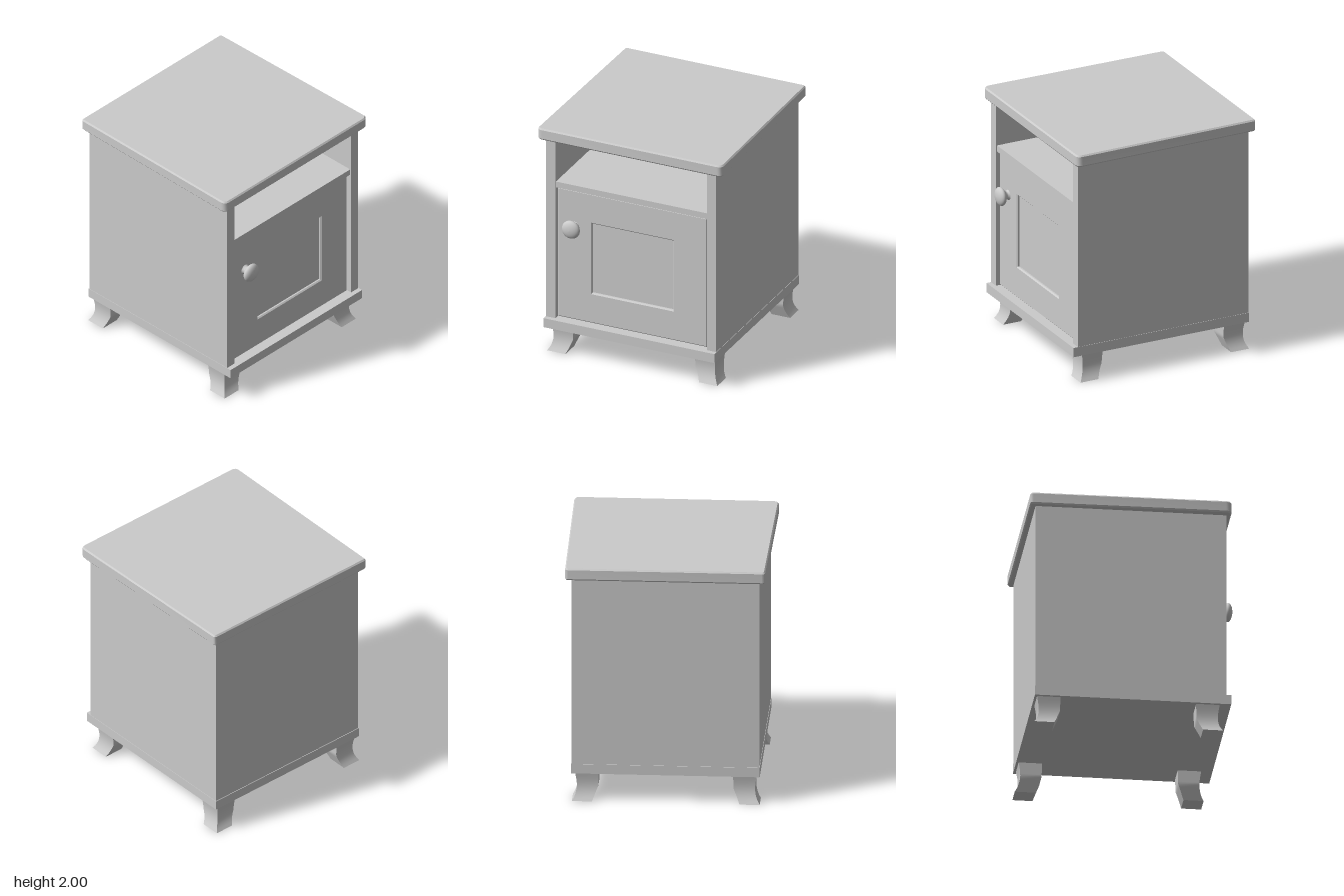
import * as THREE from 'three';
import { toCreasedNormals } from 'three/addons/utils/BufferGeometryUtils.js';

const material = new THREE.MeshStandardMaterial({ color: 0xcccccc });

export function createModel() {
  const root = new THREE.Group();
  const add = (name, geometry, parent = root) => {
    const mesh = new THREE.Mesh(geometry, material);
    mesh.name = name;
    parent.add(mesh);
    return mesh;
  };
  // Box given by its limits on each axis
  const box = (name, [x0, x1], [y0, y1], [z0, z1], parent) => {
    const g = new THREE.BoxGeometry(x1 - x0, y1 - y0, z1 - z0);
    g.translate((x0 + x1) / 2, (y0 + y1) / 2, (z0 + z1) / 2);
    return add(name, g, parent);
  };

  // Carcass, open at +x
  box('base', [-0.79, 0.79], [0.235, 0.315], [-0.755, 0.755]);
  box('leftSidePanel', [-0.785, 0.75], [0.315, 1.905], [0.67, 0.752]);
  box('rightSidePanel', [-0.785, 0.75], [0.315, 1.905], [-0.752, -0.67]);
  box('backPanel', [-0.785, -0.74], [0.315, 1.905], [-0.67, 0.67]);
  box('shelf', [-0.74, 0.74], [1.478, 1.53], [-0.67, 0.67]);

  // Table top: slightly tapered, rounded corners, small bevel
  const corners = [[-0.82, -0.79, 0.015], [0.78, -0.808, 0.04], [0.78, 0.812, 0.04], [-0.82, 0.792, 0.015]];
  const outline = new THREE.Shape();
  corners.forEach(([x, y, r], i) => {
    const p = new THREE.Vector2(x, y);
    const toward = (k) => {
      const q = corners[(i + k) % 4];
      return new THREE.Vector2(q[0], q[1]).sub(p).setLength(r).add(p);
    };
    const a = toward(3), b = toward(1);
    if (i === 0) outline.moveTo(a.x, a.y);
    else outline.lineTo(a.x, a.y);
    outline.quadraticCurveTo(x, y, b.x, b.y);
  });
  outline.closePath();
  const top = new THREE.ExtrudeGeometry(outline, {
    depth: 0.076, bevelThickness: 0.012, bevelSize: 0.01, bevelSegments: 1, curveSegments: 6,
  });
  top.rotateX(-Math.PI / 2).translate(0, 1.912, 0);
  add('tableTop', toCreasedNormals(top, 0.5));

  // Door frame with a bevelled opening
  const door = new THREE.Group();
  door.name = 'door';
  root.add(door);
  const rect = (path, u0, u1, v0, v1) =>
    path.setFromPoints([[u0, v0], [u1, v0], [u1, v1], [u0, v1]].map(([u, v]) => new THREE.Vector2(u, v)));
  const frame = rect(new THREE.Shape(), -0.665, 0.66, 0.322, 1.474);
  frame.holes.push(rect(new THREE.Path(), -0.36, 0.355, 0.59, 1.208));
  const frameGeometry = new THREE.ExtrudeGeometry(frame, {
    depth: 0.04, bevelThickness: 0.01, bevelSize: 0.01, bevelOffset: -0.01, bevelSegments: 1,
  });
  frameGeometry.rotateY(Math.PI / 2).translate(0.67, 0, 0);
  add('doorFrame', frameGeometry, door);
  box('doorPanel', [0.67, 0.698], [0.57, 1.23], [-0.38, 0.38], door);

  // Knob: flared stem and flattened ball
  const profile = [[0.042, 0], [0.034, 0.012], [0.034, 0.022], [0.045, 0.035]];
  for (let i = 0; i <= 10; i++) {
    const a = -0.85 + (i / 10) * (Math.PI / 2 + 0.85);
    profile.push([Math.max(0, 0.078 * Math.cos(a)), 0.068 + 0.038 * Math.sin(a)]);
  }
  const knob = new THREE.LatheGeometry(profile.map(([r, h]) => new THREE.Vector2(r, h)), 32);
  knob.rotateZ(-Math.PI / 2).translate(0.72, 1.155, 0.515);
  add('knob', knob, door);

  // Feet: a box whose outer faces curve outward and inner faces taper
  const foot = (name, sx, sz, cx, cz) => {
    const g = new THREE.BoxGeometry(1, 1, 1, 1, 10, 1);
    const p = g.attributes.position;
    for (let i = 0; i < p.count; i++) {
      const d = 0.5 - p.getY(i); // 0 at the top, 1 at the floor
      const outer = -0.045 * d + 0.07 * d ** 3;
      const inner = d < 0.5 ? 0.01 * d : 0.005 + 0.096 * (d - 0.5);
      const place = (v, s, c) => s * (v * s > 0 ? c + outer : c - 0.19 + inner);
      p.setXYZ(i, place(p.getX(i), sx, cx), 0.235 * (1 - d), place(p.getZ(i), sz, cz));
    }
    g.computeVertexNormals();
    add(name, g);
  };
  for (const [side, sz, cz] of [['Left', 1, 0.73], ['Right', -1, 0.725]]) {
    foot('front' + side + 'Foot', 1, sz, 0.7, cz);
    foot('back' + side + 'Foot', -1, sz, 0.77, cz);
  }
  return root;
}
